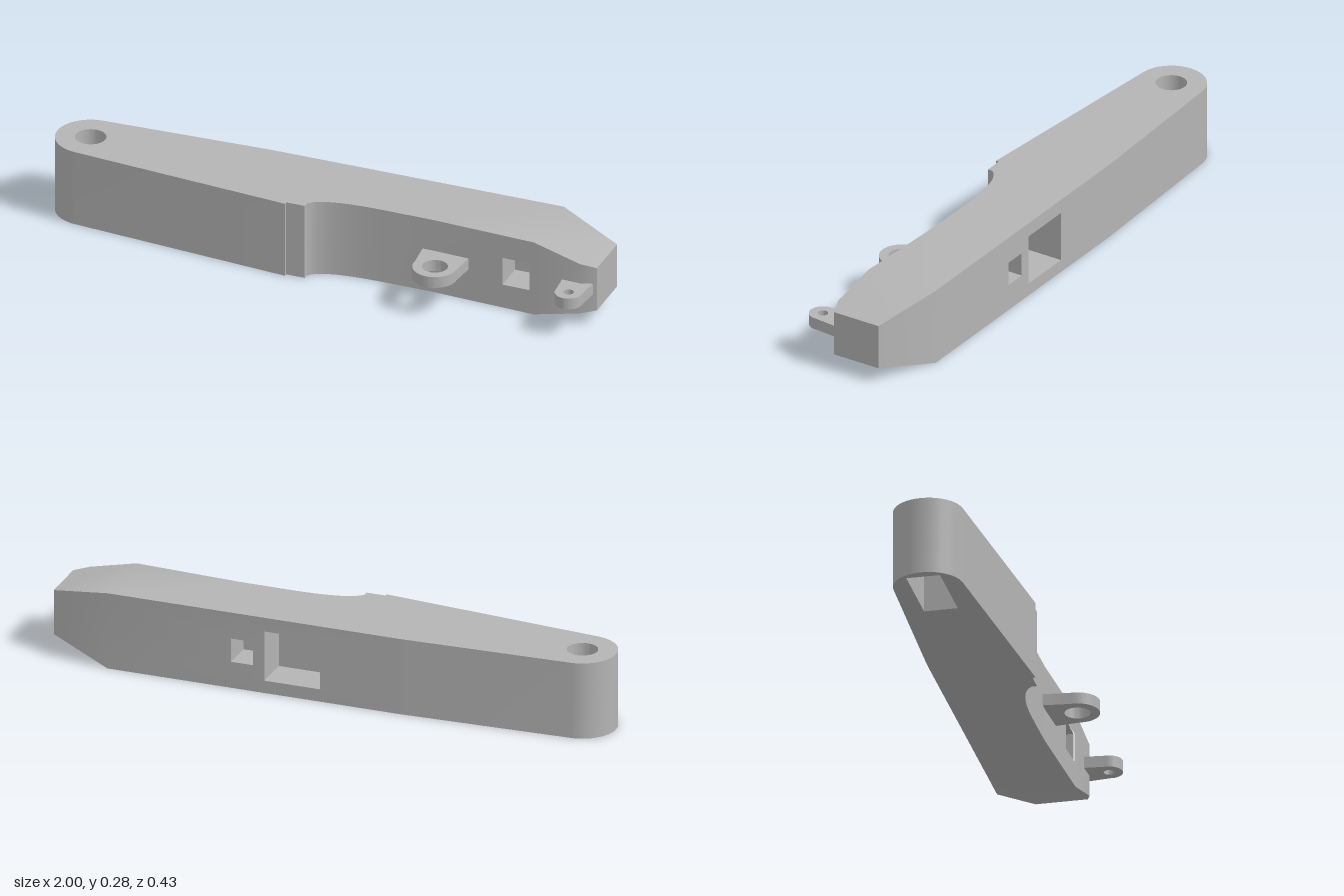
import * as THREE from 'three';
import { mergeGeometries, toCreasedNormals } from 'three/addons/utils/BufferGeometryUtils.js';

const H = 0.275, TAPER_X = 0.775;
const PIVOT = [-0.88, -0.07], PIVOT_R = 0.12, BORE_R = 0.053;
const v2 = (p) => new THREE.Vector2(p[0], p[1]);
const rect = (x0, x1, y0, y1) => [[x0, y0], [x1, y0], [x1, y1], [x0, y1]];
const circle = (c, r, n = 40) => Array.from({ length: n }, (_, i) => {
  const a = (i / n) * Math.PI * 2;
  return [c[0] + r * Math.cos(a), c[1] + r * Math.sin(a)];
});

// Height lost at each of the top and bottom faces along the tapered tip
const inset = (x) => Math.max(0, (x - TAPER_X) / (1 - TAPER_X)) * 0.057;

function shapeOf(points, holes = []) {
  const s = new THREE.Shape(points.map(v2));
  holes.forEach((h) => s.holes.push(new THREE.Path(h.map(v2))));
  return new THREE.ShapeGeometry(s);
}

// Upright wall from p to q in plan; holes are in distance-along and height
function wall(p, q, holes = [], low = inset, high = (x) => H - inset(x)) {
  const u = new THREE.Vector3(q[0] - p[0], 0, q[1] - p[1]);
  const len = u.length();
  u.normalize();
  const up = new THREE.Vector3(0, 1, 0);
  const m = new THREE.Matrix4().makeBasis(u, up, u.clone().cross(up)).setPosition(p[0], 0, p[1]);
  return shapeOf([[0, low(p[0])], [len, low(q[0])], [len, high(q[0])], [0, high(p[0])]], holes).applyMatrix4(m);
}

// Horizontal face from plan points, facing up or down, following heightAt(x)
function cap(points, holes, heightAt, faceUp) {
  const flip = (list) => list.map(([x, z]) => [x, faceUp ? -z : z]);
  const g = shapeOf(flip(points), holes.map(flip));
  g.rotateX(faceUp ? -Math.PI / 2 : Math.PI / 2);
  const pos = g.attributes.position;
  for (let i = 0; i < pos.count; i++) pos.setY(i, heightAt(pos.getX(i)));
  return g;
}

// Inward-facing box, open on one side (4 = front, 5 = back)
function pocket(x0, x1, y0, y1, z0, z1, openSide) {
  const g = new THREE.BoxGeometry(x1 - x0, y1 - y0, z1 - z0);
  const index = Array.from(g.index.array);
  index.splice(openSide * 6, 6);
  g.setIndex(index.reverse());
  return g.translate((x0 + x1) / 2, (y0 + y1) / 2, (z0 + z1) / 2);
}

function finish(parts) {
  return toCreasedNormals(mergeGeometries(parts.map((g) => (g.index ? g.toNonIndexed() : g))), 0.45);
}

// Flat eyelet tab, wide at its root and rounded around its hole
function lugGeometry(cx, cz, r, holeR, rootHalf, rootZ) {
  const s = new THREE.Shape();
  s.moveTo(cx - rootHalf, rootZ);
  s.lineTo(cx + rootHalf, rootZ);
  s.absarc(cx, cz, r, -0.1, Math.PI + 0.1, false);
  s.closePath();
  s.holes.push(new THREE.Path(circle([cx, cz], holeR, 32).map(v2)));
  const g = new THREE.ExtrudeGeometry(s, { depth: 0.041, bevelEnabled: false, curveSegments: 20 });
  g.rotateX(Math.PI / 2).translate(0, 0.158, 0);
  return toCreasedNormals(g, 0.45);
}

export function createModel() {
  const group = new THREE.Group();
  const grey = new THREE.MeshStandardMaterial({ color: 0xb4b4b4 });
  grey.name = 'grey';
  const add = (name, geometry) => {
    const mesh = new THREE.Mesh(geometry, grey);
    mesh.name = name;
    group.add(mesh);
  };

  // Plan outline: round pivot end, stepped front edge, hollow curve
  const pivotEnd = Array.from({ length: 29 }, (_, i) => {
    const t = THREE.MathUtils.degToRad(-93 - (172 * i) / 28);
    return [PIVOT[0] + PIVOT_R * Math.cos(t), PIVOT[1] + PIVOT_R * Math.sin(t)];
  });
  const hollow = new THREE.CubicBezierCurve(
    v2([-0.033, 0.092]), v2([-0.01, 0.055]), v2([0.07, 0.037]), v2([0.22, 0.037])
  ).getPoints(18).map((p) => [p.x, p.y]);
  const frontTaper = [TAPER_X, 0.057], backTaper = [TAPER_X, -0.213];
  const main = [
    ...pivotEnd, [-0.1, 0.12], [-0.1, 0.109], [-0.033, 0.109], ...hollow,
    [0.4, 0.038], frontTaper, backTaper, [-0.28, -0.213],
  ];
  const tip = [frontTaper, [0.945, 0.066], [1, 0.048], [1, -0.132], backTaper];

  // Body side walls, with openings on the two straight runs
  const parts = [];
  main.forEach((p, i) => {
    const q = main[(i + 1) % main.length];
    if (p === frontTaper) return;
    let holes = [];
    if (q === frontTaper) holes = [rect(0.26, 0.36, 0.088, 0.19)];
    if (p === backTaper) {
      holes = [[0.25, 0.33, 0.095, 0.18], [0.01, 0.21, 0.045, 0.225]]
        .map(([x0, x1, y0, y1]) => rect(TAPER_X - x1, TAPER_X - x0, y0, y1));
    }
    parts.push(wall(p, q, holes));
  });
  for (let i = 0; i < tip.length - 1; i++) parts.push(wall(tip[i], tip[i + 1]));

  // Top and bottom faces, flat along the arm and sloping at the tip
  const slot = rect(-0.965, -0.695, -0.128, -0.012);
  const bore = circle(PIVOT, BORE_R);
  const top = (x) => H - inset(x);
  parts.push(cap(main, [bore], top, true), cap(tip, [], top, true));
  parts.push(cap(main, [slot], inset, false), cap(tip, [], inset, false));
  add('armBody', finish(parts));

  // Slot under the pivot and the bore that opens into it
  const slotTop = 0.2;
  const slotParts = [cap(slot, [bore], () => slotTop, false)];
  slot.forEach((p, i) => slotParts.push(wall(p, slot[(i + 1) % 4], [], () => 0, () => slotTop)));
  bore.forEach((p, i) => slotParts.push(wall(p, bore[(i + 1) % bore.length], [], () => slotTop, () => H)));
  add('pivotSlot', finish(slotParts));

  // Recesses in the front and back walls
  add('frontRecess', finish([pocket(0.66, 0.76, 0.088, 0.19, -0.06, 0.053, 4)]));
  add('smallBackRecess', finish([pocket(0.25, 0.33, 0.095, 0.18, -0.213, -0.1, 5)]));
  add('largeBackRecess', finish([pocket(0.01, 0.21, 0.045, 0.225, -0.213, -0.08, 5)]));

  // Eyelet tabs on the front edge
  add('largeLug', lugGeometry(0.45, 0.138, 0.076, 0.044, 0.086, 0.03));
  add('smallLug', lugGeometry(0.933, 0.136, 0.047, 0.018, 0.055, 0.045));
  return group;
}
